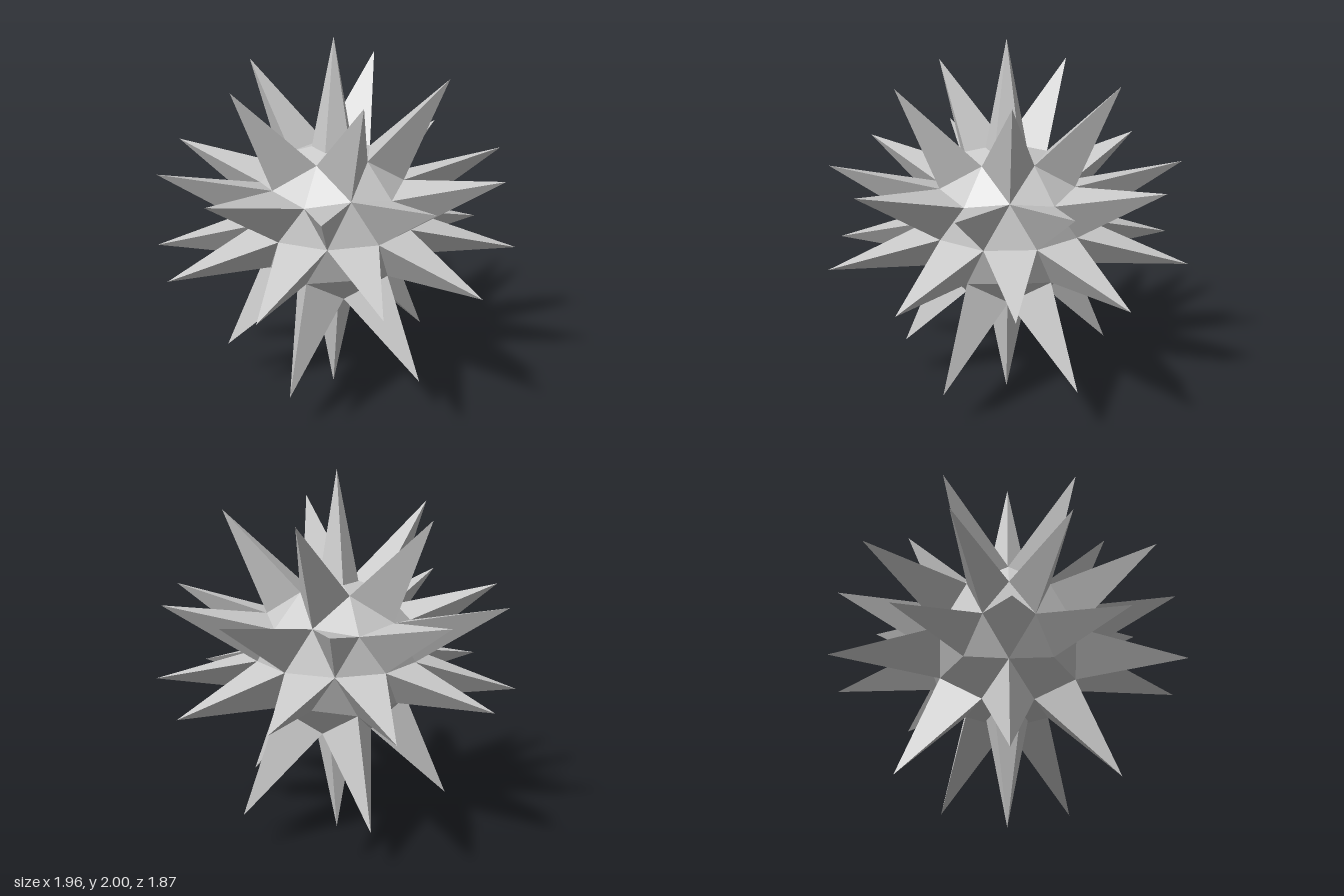
import * as THREE from 'three';

const RADIUS = 0.44;       // core ball
const SPIKE = 0.58;        // spike height above its face
const material = new THREE.MeshStandardMaterial({ color: 0xcccccc, flatShading: true });

// Point on the core ball at a height fraction and an azimuth in degrees
function onBall(level, degrees) {
  const a = THREE.MathUtils.degToRad(degrees);
  const r = Math.sqrt(1 - level * level);
  return new THREE.Vector3(r * Math.cos(a), level, r * Math.sin(a)).multiplyScalar(RADIUS);
}

function centroid(loop) {
  return loop.reduce((sum, p) => sum.add(p), new THREE.Vector3()).divideScalar(loop.length);
}

function normalOf(loop) {
  return new THREE.Triangle(loop[0], loop[1], loop[2]).getNormal(new THREE.Vector3());
}

// Order a loop of corners so that it faces away from the centre
function outward(loop) {
  return normalOf(loop).dot(centroid(loop)) < 0 ? [...loop].reverse() : loop;
}

function facetMesh(name, triangles) {
  const geometry = new THREE.BufferGeometry().setFromPoints(triangles.flat());
  geometry.computeVertexNormals();
  const mesh = new THREE.Mesh(geometry, material);
  mesh.name = name;
  return mesh;
}

// Pyramid from a base loop to a tip
function spike(name, base, tip) {
  const loop = outward(base);
  return facetMesh(name, loop.map((p, i) => [p, loop[(i + 1) % loop.length], tip]));
}

export function createModel() {
  const model = new THREE.Group();
  model.name = 'spikyBall';
  const spikes = new THREE.Group();
  spikes.name = 'spikes';
  const coreFaces = [];

  // The lower half is the upper half inverted through the centre
  for (const side of [1, -1]) {
    const half = side > 0 ? 'upper' : 'lower';
    const at = (level, deg) => onBall(level, deg).multiplyScalar(side);
    const pole = at(1, 0);
    const ring = (deg) => at(0.851, deg);
    const corner = (deg) => at(0.447, deg);
    const middle = (deg) => at(0.526, deg);
    const equator = (deg) => at(0, deg);

    const addFace = (points, spikeName) => {
      const face = outward(points);
      coreFaces.push(face);
      if (spikeName) {
        const tip = centroid(face).addScaledVector(normalOf(face), SPIKE);
        spikes.add(spike(spikeName, face, tip));
      }
    };

    // Faces whose point is on the equator carry spikes above, the others below
    const pointed = side > 0 ? 'upperSideSpike' : null;
    const based = side < 0 ? 'lowerSideSpike' : null;
    for (let k = 0; k < 5; k++) {
      const a = 72 * k;
      addFace([pole, ring(a), ring(a + 72)]);
      addFace([ring(a), ring(a + 72), middle(a + 36)], half + 'RingSpike');
      for (const d of [1, -1]) {
        addFace([ring(a), corner(a), middle(a + 36 * d)]);
        addFace([corner(a), equator(a + 18 * d), middle(a + 36 * d)], pointed);
      }
      addFace([corner(a), equator(a - 18), equator(a + 18)], based);
      addFace([middle(a + 36), equator(a + 18), equator(a + 54)], based);
    }

    // Five-sided spike at the pole
    const poleBase = [0, 72, 144, 216, 288].map((deg) => ring(deg).lerp(pole, 0.5));
    spikes.add(spike(half + 'PoleSpike', poleBase, new THREE.Vector3(0, side, 0)));
  }

  model.add(facetMesh('core', coreFaces), spikes);
  // Stand on the ground
  model.children.forEach((part) => { part.position.y = 1; });
  return model;
}
